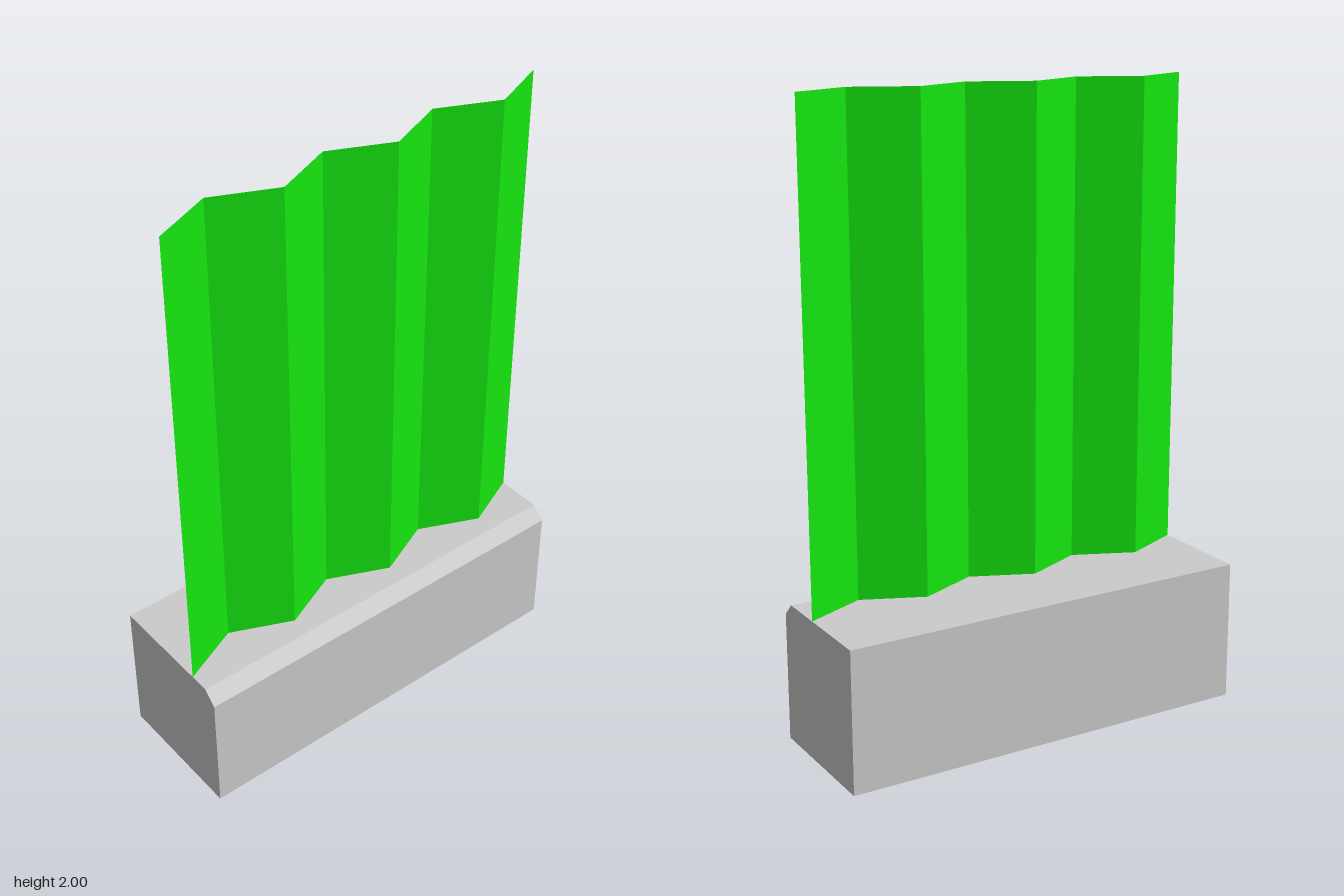
import * as THREE from 'three';

const LENGTH = 1.36;      // along z
const BASE_TOP = 0.455;
const FOLDS = 7;

// Block with one chamfered upper edge, extruded along z
function makeBase() {
  const w = 0.225, c = 0.042;
  const profile = new THREE.Shape([
    [-w, 0], [w, 0], [w, BASE_TOP - c], [w - c, BASE_TOP], [-w, BASE_TOP],
  ].map(([x, y]) => new THREE.Vector2(x, y)));
  const geometry = new THREE.ExtrudeGeometry(profile, { depth: LENGTH, bevelEnabled: false });
  geometry.translate(0, 0, -LENGTH / 2);
  const base = new THREE.Mesh(geometry, new THREE.MeshStandardMaterial({ color: 0xcccccc, flatShading: true }));
  base.name = 'base';
  return base;
}

// Thin sheet folded in a zigzag, standing on the base
function makePanel() {
  const height = 2 - BASE_TOP;
  const geometry = new THREE.PlaneGeometry(LENGTH, height, FOLDS, 1);
  geometry.rotateY(Math.PI / 2);
  geometry.translate(0, BASE_TOP + height / 2, 0);
  const p = geometry.attributes.position;
  for (let i = 0; i < p.count; i++) {
    const fold = Math.round((LENGTH / 2 - p.getZ(i)) / LENGTH * FOLDS);
    p.setX(i, fold % 2 === 0 ? 0.117 : 0.031);
  }
  const flat = geometry.toNonIndexed();
  flat.computeVertexNormals();
  const panel = new THREE.Mesh(flat, new THREE.MeshStandardMaterial({
    color: 0x15e610, flatShading: true, side: THREE.DoubleSide,
  }));
  panel.name = 'corrugatedPanel';
  return panel;
}

export function createModel() {
  const model = new THREE.Group();
  model.name = 'corrugatedBarrier';
  model.add(makeBase(), makePanel());
  return model;
}
